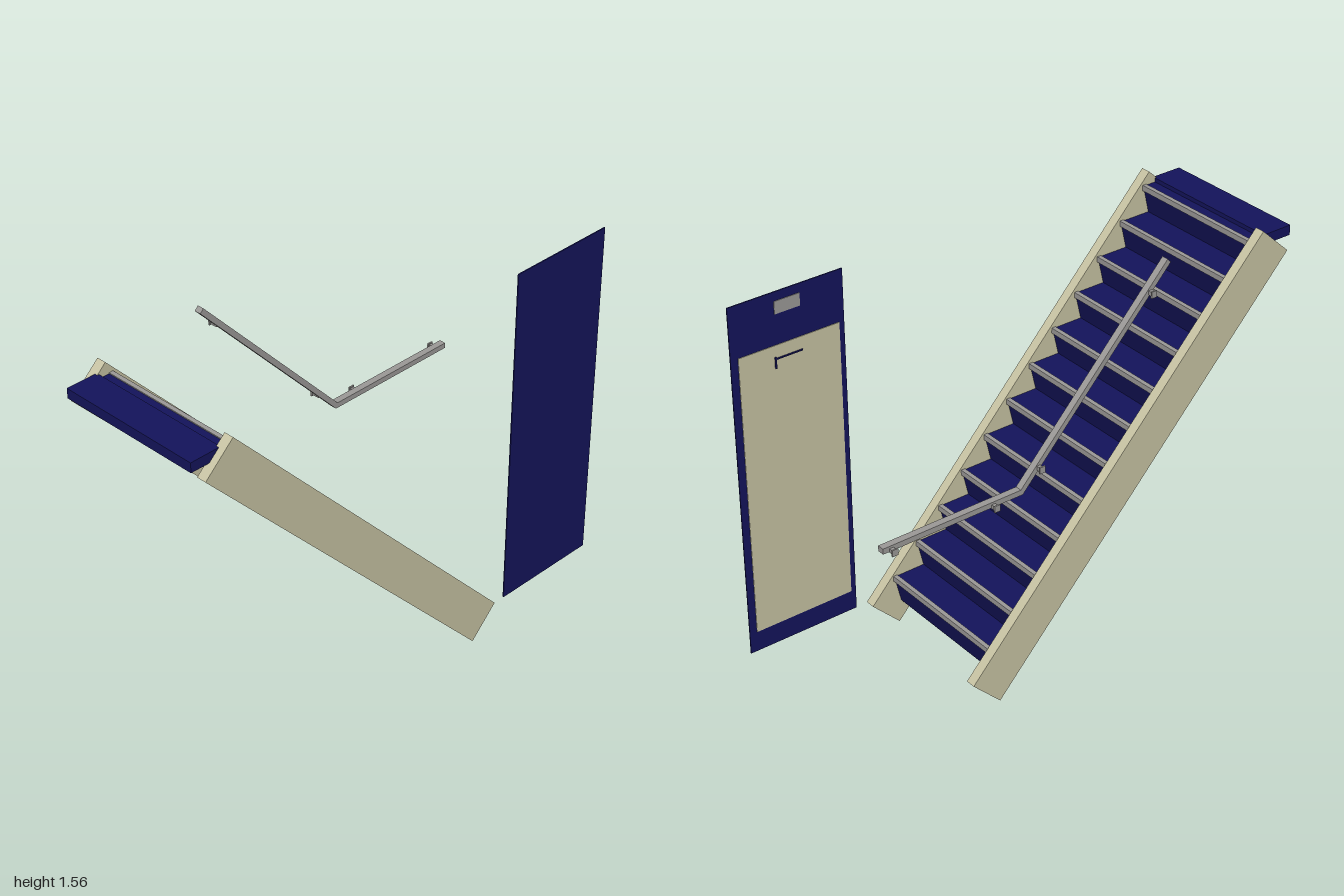
import * as THREE from 'three';

const mat = (color) => new THREE.MeshStandardMaterial({ color });

export function createModel() {
  const model = new THREE.Group();
  const beige = mat(0xc8c4a4), navy = mat(0x14145c), grey = mat(0x9c9a98);

  const add = (name, geometry, material, parent = model) => {
    const mesh = new THREE.Mesh(geometry, material);
    mesh.name = name;
    parent.add(mesh);
    return mesh;
  };

  // Box given by its limits on each axis
  const box = (name, [x0, x1], [y0, y1], [z0, z1], material, parent) =>
    add(name, new THREE.BoxGeometry(x1 - x0, y1 - y0, z1 - z0), material, parent)
      .position.set((x0 + x1) / 2, (y0 + y1) / 2, (z0 + z1) / 2);

  // Side profile of [z, y] points, extruded across x
  const across = (points, x0, x1) => {
    const shape = new THREE.Shape(points.map(([z, y]) => new THREE.Vector2(z, y)));
    return new THREE.ExtrudeGeometry(shape, { depth: x1 - x0, bevelEnabled: false })
      .rotateY(-Math.PI / 2).translate(x1, 0, 0);
  };

  // Sloping stringers on both sides
  const stringer = [[-0.36, 0], [0.965, 1.42], [0.84, 1.535], [-0.48, 0.12]];
  add('leftStringer', across(stringer, 0.293, 0.333), beige);
  add('rightStringer', across(stringer, -0.333, -0.293), beige);

  // Steps: leaning riser, flat tread, short back edge and sloping soffit
  const steps = new THREE.Group();
  steps.name = 'steps';
  model.add(steps);
  const count = 12, run = 0.1083, rise = 0.1155;
  const step = across([
    [0, 0], [0.028, -rise], [0.032, -rise - 0.008], [0.14, -0.02], [0.14, 0],
  ], -0.293, 0.293);
  for (let i = 0; i < count; i++) {
    const z = -0.378 + i * run, y = 0.213 + i * rise;
    add('step', step, navy, steps).position.set(0, y, z);
    box('nosing', [-0.293, 0.293], [y - 0.018, y + 0.004], [z - 0.004, z + 0.014], grey, steps);
  }

  // Top landing plate
  box('landing', [-0.305, 0.305], [1.46, 1.5], [0.87, 1], navy);

  // Bent handrail with mitred corner
  add('handrail', across([
    [-0.84, 0.838], [-0.24, 0.838], [0.417, 1.542], [0.402, 1.558], [-0.249, 0.86], [-0.84, 0.86],
  ], -0.314, -0.286), grey);

  // Wall brackets along the handrail
  for (const z of [-0.805, -0.37, -0.17, 0.325]) {
    const y = 0.849 + Math.max(0, z + 0.245) * 1.07;
    const bracket = new THREE.Group();
    bracket.name = 'railBracket';
    bracket.position.set(0, y - 0.006, z);
    model.add(bracket);
    box('bracketArm', [-0.332, -0.3], [-0.008, 0.008], [-0.008, 0.008], grey, bracket);
    box('bracketPlate', [-0.337, -0.331], [-0.013, 0.013], [-0.012, 0.012], grey, bracket);
  }

  // Free-standing door panel with its inner face towards the stairs
  const door = new THREE.Group();
  door.name = 'doorPanel';
  model.add(door);
  box('panel', [0.329, 0.334], [0.12, 1.56], [-1, -0.53], navy, door);
  box('panelInset', [0.3265, 0.33], [0.205, 1.355], [-0.97, -0.552], beige, door);
  box('panelPlate', [0.3265, 0.33], [1.475, 1.525], [-0.815, -0.71], grey, door);
  box('handleBar', [0.322, 0.327], [1.3, 1.305], [-0.82, -0.71], navy, door);
  box('handleStem', [0.322, 0.327], [1.265, 1.31], [-0.825, -0.819], navy, door);

  return model;
}
